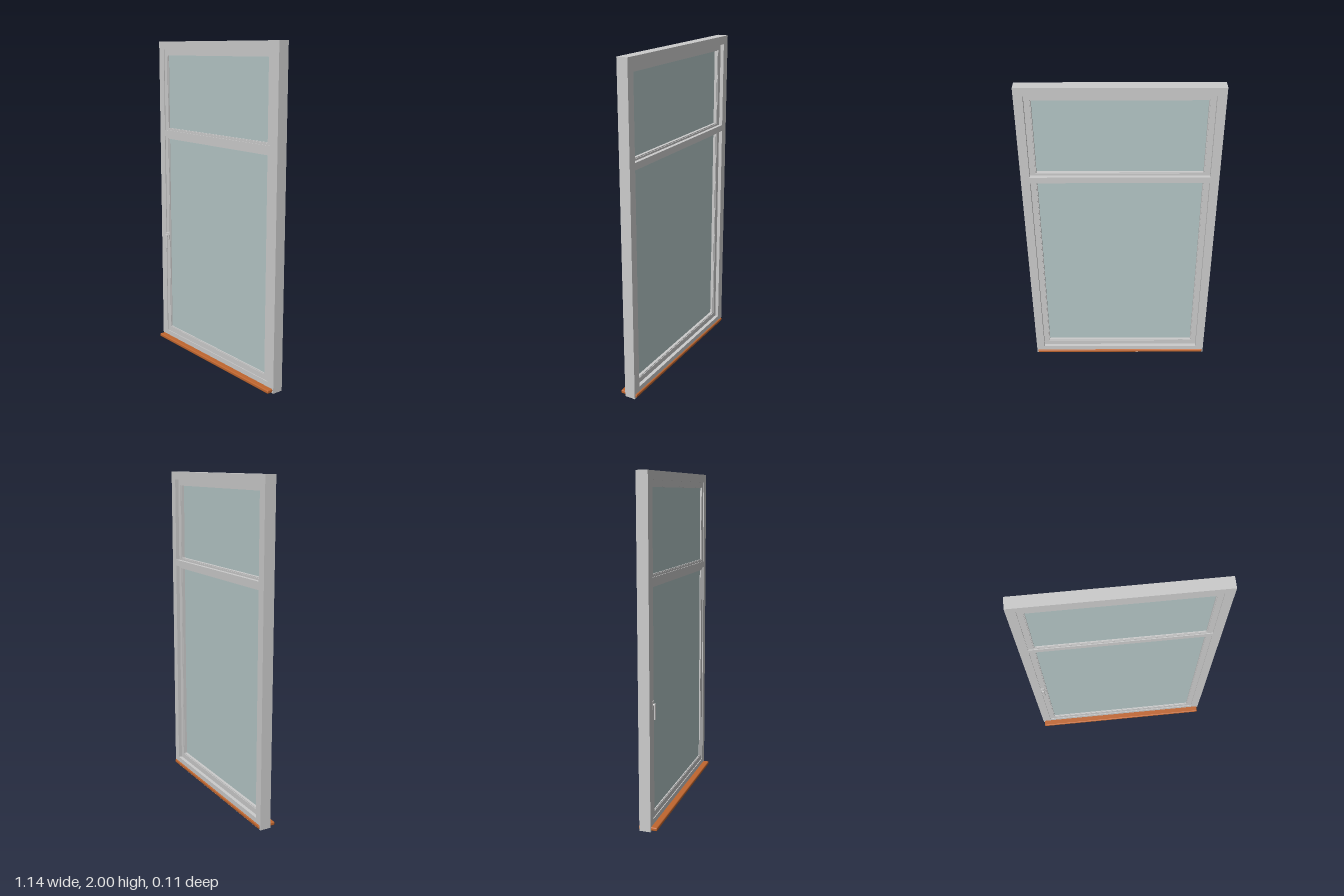
import * as THREE from 'three';
import { RoundedBoxGeometry } from 'three/addons/geometries/RoundedBoxGeometry.js';

const grey = new THREE.MeshStandardMaterial({ color: 0xcccccc });
const wood = new THREE.MeshStandardMaterial({ color: 0xc0662f });
const glassMaterial = new THREE.MeshStandardMaterial({ color: 0xb4c6c6 });

// A rectangle outline is [x0, y0, x1, y1]
function outline(Type, [x0, y0, x1, y1]) {
  const path = new Type();
  path.moveTo(x0, y0);
  path.lineTo(x1, y0);
  path.lineTo(x1, y1);
  path.lineTo(x0, y1);
  path.closePath();
  return path;
}

// Rectangular border with any number of openings, from z = back to z = front
function border(name, outer, openings, back, front) {
  const shape = outline(THREE.Shape, outer);
  openings.forEach((o) => shape.holes.push(outline(THREE.Path, o)));
  const geometry = new THREE.ExtrudeGeometry(shape, { depth: front - back, bevelEnabled: false });
  geometry.translate(0, 0, back);
  const mesh = new THREE.Mesh(geometry, grey);
  mesh.name = name;
  return mesh;
}

function block(name, geometry, material, x, y, z) {
  const mesh = new THREE.Mesh(geometry, material);
  mesh.name = name;
  mesh.position.set(x, y, z);
  return mesh;
}

export function createModel() {
  const model = new THREE.Group();
  model.name = 'window';

  const panels = [
    { name: 'upper', opening: [-0.516, 1.438, 0.516, 1.951], pane: [-0.479, 1.454, 0.479, 1.914] },
    { name: 'lower', opening: [-0.516, 0.057, 0.516, 1.4], pane: [-0.479, 0.095, 0.479, 1.383] },
  ];

  // Fixed frame with transom
  model.add(border('frame', [-0.568, 0, 0.568, 2], panels.map((p) => p.opening), -0.05, 0.017));

  // Sashes with a stepped glazing bead, and their panes
  for (const { name, opening, pane } of panels) {
    const [x0, y0, x1, y1] = pane;
    const bead = [x0 - 0.005, y0 - 0.005, x1 + 0.005, y1 + 0.005];
    const sash = new THREE.Group();
    sash.name = name + 'Sash';
    sash.add(border('sashFrame', opening, [bead], -0.028, 0.012));
    sash.add(border('glazingBead', bead, [pane], -0.024, 0.009));
    const glass = new THREE.BoxGeometry(x1 - x0, y1 - y0, 0.008);
    sash.add(block('glass', glass, glassMaterial, (x0 + x1) / 2, (y0 + y1) / 2, -0.002));
    model.add(sash);
  }

  // Window boards: deep one in front, narrow nosing behind
  const boardHeight = 0.021;
  model.add(block('frontSill', new RoundedBoxGeometry(1.12, boardHeight, 0.041, 3, 0.006), wood, 0, 0.0155, 0.0325));
  model.add(block('backSill', new RoundedBoxGeometry(1.12, boardHeight, 0.018, 3, 0.006), wood, 0, 0.0155, -0.049));

  // Handle: back plate, neck and hanging lever
  const handle = new THREE.Group();
  handle.name = 'handle';
  handle.position.set(-0.503, 0, 0);
  handle.add(block('plate', new RoundedBoxGeometry(0.026, 0.05, 0.006, 2, 0.0025), grey, 0, 0.727, 0.014));
  const neck = new THREE.CylinderGeometry(0.007, 0.007, 0.014, 16);
  neck.rotateX(Math.PI / 2);
  handle.add(block('neck', neck, grey, 0, 0.73, 0.019));
  handle.add(block('lever', new RoundedBoxGeometry(0.017, 0.095, 0.008, 3, 0.0035), grey, 0, 0.691, 0.026));
  model.add(handle);

  return model;
}
